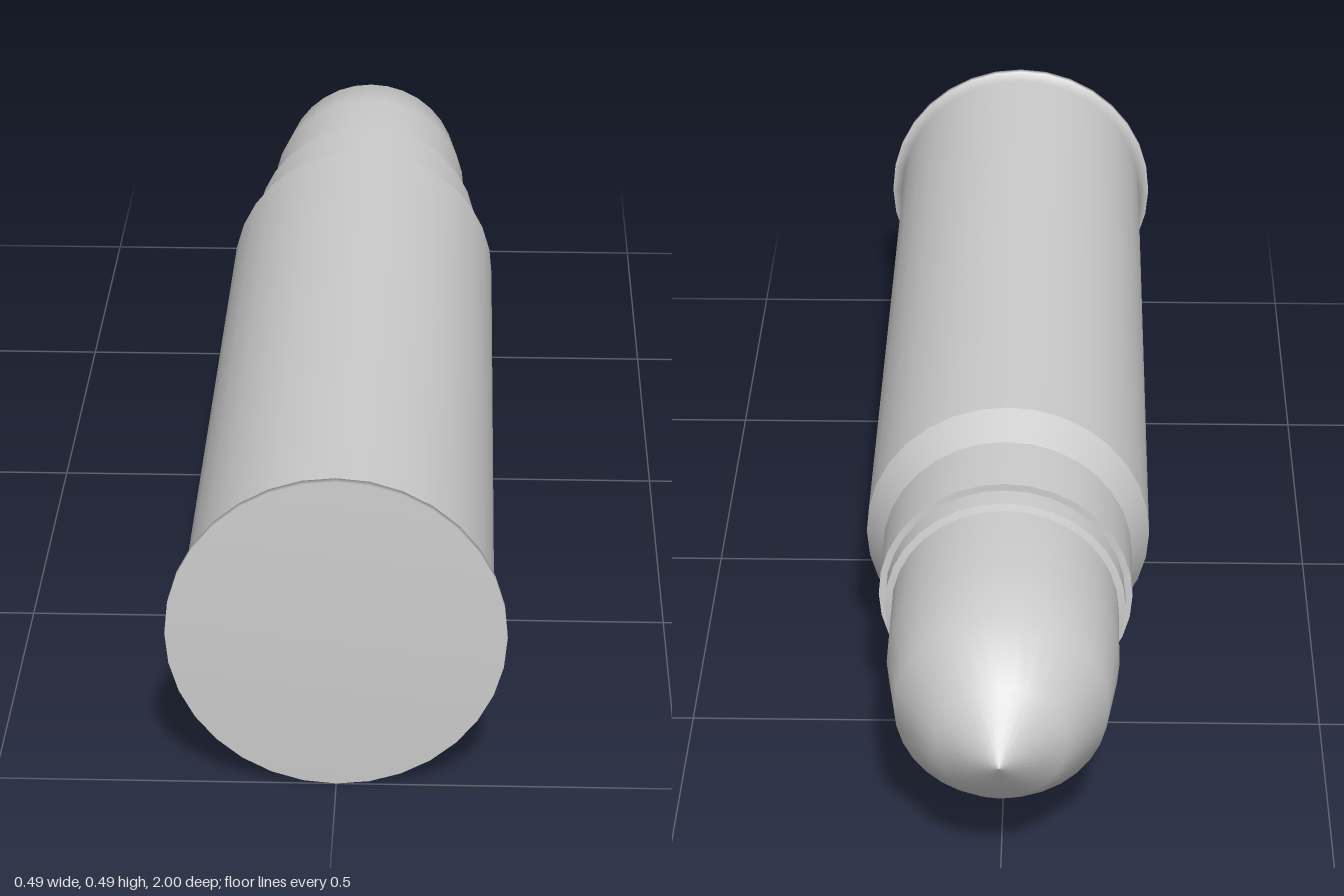
import * as THREE from 'three';

const SEGMENTS = 32;
const AXIS_HEIGHT = 0.246;

export function createModel() {
  const group = new THREE.Group();
  group.name = 'cartridge';
  const material = new THREE.MeshStandardMaterial({ color: 0xcccccc });

  // Turned part: profile of [radius, z], listed from the base (+z) to the tip (-z)
  function turned(name, profile) {
    const points = profile.map(([r, z]) => new THREE.Vector2(r, -z));
    const geometry = new THREE.LatheGeometry(points, SEGMENTS);
    geometry.rotateX(-Math.PI / 2);
    const mesh = new THREE.Mesh(geometry, material);
    mesh.name = name;
    mesh.position.y = AXIS_HEIGHT;
    group.add(mesh);
  }

  // Flat base, thin rim and straight case, shaded smoothly as one skin
  turned('caseBody', [[0, 1], [0.246, 1], [0.246, 0.988], [0.227, 0.988], [0.227, -0.322]]);

  // Tapered shoulder with crisp edges
  turned('shoulder', [[0.227, -0.322], [0.198, -0.382]]);

  // Neck of the case and its front step
  turned('neck', [[0.198, -0.382], [0.198, -0.516]]);
  turned('neckStep', [[0.198, -0.516], [0.187, -0.516]]);

  // Narrow lip around the bullet
  turned('lip', [[0.187, -0.516], [0.187, -0.556]]);
  turned('lipStep', [[0.187, -0.556], [0.176, -0.56]]);

  // Bullet with a pointed, rounded nose
  turned('bullet', [[0.176, -0.56], [0.176, -0.715], [0.159, -0.842], [0.098, -0.932], [0, -1]]);

  return group;
}
